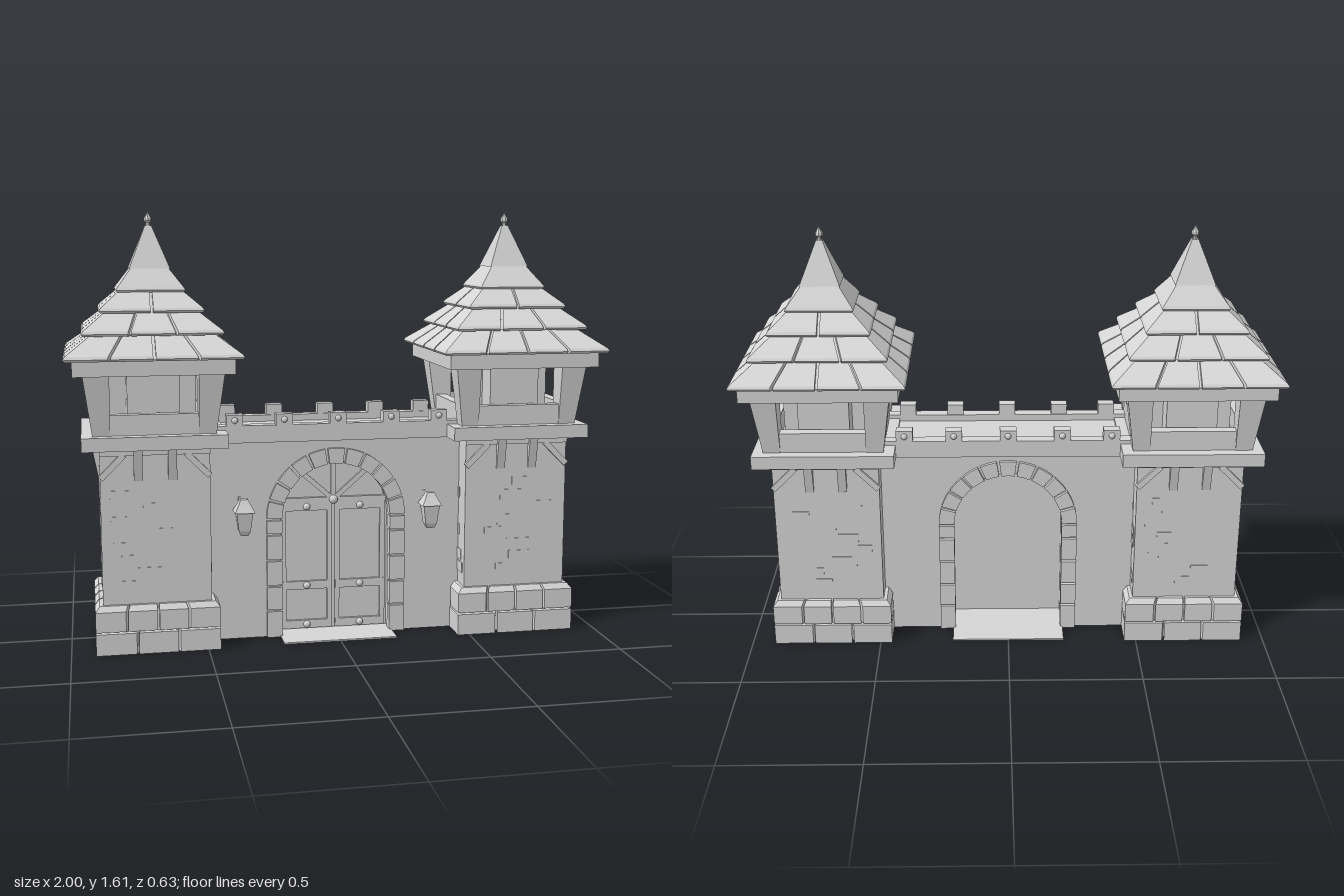
import * as THREE from 'three';

const stone = new THREE.MeshStandardMaterial({ color: 0xd6d6d6 });
stone.name = 'pale stone';

function add(parent, name, geo, x = 0, y = 0, z = 0) {
  const m = new THREE.Mesh(geo, stone);
  m.name = name;
  m.position.set(x, y, z);
  parent.add(m);
  return m;
}

// Box given by its limits
function span(parent, name, x0, x1, y0, y1, z0, z1) {
  return add(parent, name, new THREE.BoxGeometry(x1 - x0, y1 - y0, z1 - z0),
    (x0 + x1) / 2, (y0 + y1) / 2, (z0 + z1) / 2);
}

function flat(geo) {
  const g = geo.index ? geo.toNonIndexed() : geo;
  g.computeVertexNormals();
  return g;
}

// Leaves out the faces resting on the ground
function openBottom(geo) {
  const p = geo.attributes.position, kept = [];
  for (let i = 0; i < p.count; i += 3) {
    const tri = [i, i + 1, i + 2];
    if (tri.every(k => p.getY(k) < 1e-4)) continue;
    for (const k of tri) kept.push(p.getX(k), p.getY(k), p.getZ(k));
  }
  const g = new THREE.BufferGeometry();
  g.setAttribute('position', new THREE.Float32BufferAttribute(kept, 3));
  return flat(g);
}

// Square frustum given by half widths
function frustum(parent, name, bottom, top, y0, y1) {
  const g = new THREE.CylinderGeometry(top * Math.SQRT2, bottom * Math.SQRT2, y1 - y0, 4);
  return add(parent, name, flat(g.rotateY(Math.PI / 4)), 0, (y0 + y1) / 2, 0);
}

// Sweeps a (z, y) profile sideways between two x limits that may depend on z
function sweep(profile, left, right) {
  const shape = new THREE.Shape(profile.map(p => new THREE.Vector2(...p)));
  const g = new THREE.ExtrudeGeometry(shape, { depth: 1, bevelEnabled: false });
  const p = g.attributes.position;
  for (let i = 0; i < p.count; i++) {
    const h = p.getX(i), t = p.getZ(i);
    p.setXYZ(i, right(h) * (1 - t) + left(h) * t, p.getY(i), h);
  }
  return openBottom(g);
}

// Square ring of n blocks per side, mitred at the corners
function course(parent, name, profile, n, gap) {
  const ring = new THREE.Group();
  ring.name = name;
  for (let i = 0; i < n; i++) {
    const u0 = -1 + 2 * i / n, u1 = u0 + 2 / n;
    const g = sweep(profile, h => u0 * h + (i ? gap : 0), h => u1 * h - (i < n - 1 ? gap : 0));
    for (let s = 0; s < 4; s++) add(ring, name + 'Block', g).rotation.y = s * Math.PI / 2;
  }
  parent.add(ring);
}

function makeTower(seed) {
  const t = new THREE.Group();
  let state = seed;
  const rand = () => (state = (state * 16807) % 2147483647) / 2147483647;

  // Footing and shaft
  frustum(t, 'footingCore', 0.205, 0.205, 0.004, 0.165);
  course(t, 'lowerFooting', [[0.19, 0], [0.228, 0], [0.228, 0.08], [0.19, 0.08]], 3, 0.004);
  course(t, 'upperFooting', [[0.19, 0.087], [0.228, 0.087], [0.228, 0.162], [0.212, 0.182], [0.19, 0.182]], 4, 0.004);
  frustum(t, 'shaft', 0.199, 0.199, 0.16, 0.77);

  // Brackets and raised bricks on each side
  const bracket = sweep([[0.19, 0.64], [0.204, 0.64], [0.228, 0.765], [0.19, 0.765]], () => -0.016, () => 0.016);
  for (let s = 0; s < 4; s++) {
    const side = new THREE.Group();
    side.name = 'shaftSide';
    side.rotation.y = s * Math.PI / 2;
    for (const x of [-0.062, 0.062]) add(side, 'bracket', bracket, x);
    for (let r = 0; r < 8; r++) {
      const w = 0.05 + rand() * 0.05, x = (rand() - 0.5) * (0.36 - w), y = 0.23 + r * 0.048;
      span(side, 'raisedBrick', x - w / 2, x + w / 2, y, y + 0.04, 0.196, 0.2015);
    }
    // Corner braces under the platform on the front and back
    if (s % 2 === 0) {
      span(side, 'braceBeam', -0.2, 0.2, 0.735, 0.762, 0.195, 0.21);
      for (const m of [-1, 1]) {
        const brace = new THREE.BoxGeometry(0.022, 0.12, 0.015);
        add(side, 'cornerBrace', brace, m * 0.155, 0.695, 0.2025).rotation.z = m * Math.PI / 4;
      }
    }
    t.add(side);
  }

  // Lookout: platform, flared posts, low rails and cross-shaped core
  frustum(t, 'platform', 0.262, 0.262, 0.76, 0.81);
  for (const sx of [-1, 1]) for (const sz of [-1, 1]) {
    const g = new THREE.BoxGeometry(0.064, 0.22, 0.064);
    const p = g.attributes.position;
    for (let i = 0; i < p.count; i++) {
      if (p.getY(i) < 0) continue;
      if (p.getX(i) * sx > 0) p.setX(i, p.getX(i) + sx * 0.03);
      if (p.getZ(i) * sz > 0) p.setZ(i, p.getZ(i) + sz * 0.03);
    }
    add(t, 'lookoutPost', flat(g), sx * 0.19, 0.92, sz * 0.19);
  }
  for (const s of [-1, 1]) {
    span(t, 'lookoutRail', -0.16, 0.16, 0.81, 0.885, s * 0.2 - 0.02, s * 0.2 + 0.02);
    span(t, 'lookoutRail', s * 0.2 - 0.02, s * 0.2 + 0.02, 0.81, 0.885, -0.16, 0.16);
  }
  span(t, 'lookoutCore', -0.095, 0.095, 0.81, 1.03, -0.162, 0.162);
  span(t, 'lookoutCore', -0.162, 0.162, 0.81, 1.03, -0.06, 0.06);
  frustum(t, 'eaveBeam', 0.287, 0.287, 1.03, 1.09);

  // Tiled roof: [tiles per side, bottom half width, top half width, bottom y, top y]
  const tiers = [[4, 0.317, 0.21, 1.085, 1.178], [3, 0.252, 0.16, 1.168, 1.254],
    [2, 0.188, 0.11, 1.245, 1.325], [1, 0.125, 0.068, 1.316, 1.402]];
  for (const [n, hb, ht, y0, y1] of tiers) {
    frustum(t, 'roofCore', hb - 0.014, ht - 0.014, y0 + 0.003, y1 - 0.003);
    course(t, 'roofTiles', [[hb - 0.03, y0], [hb - 0.006, y0], [hb, y0 + 0.008], [hb - 0.006, y0 + 0.018],
      [ht, y1], [ht - 0.03, y1]], n, 0.005);
  }
  frustum(t, 'roofCap', 0.074, 0.012, 1.4, 1.555);
  const finial = [[0, 1.55], [0.009, 1.552], [0.008, 1.566], [0.015, 1.572], [0.014, 1.582], [0, 1.606]];
  add(t, 'finial', flat(new THREE.LatheGeometry(finial.map(p => new THREE.Vector2(...p)), 8)));
  return t;
}

// Arched outline standing on y = 0
function archPath(path, r, spring) {
  path.moveTo(-r, 0);
  path.lineTo(r, 0);
  path.lineTo(r, spring);
  path.absarc(0, spring, r, 0, Math.PI, false);
  path.closePath();
  return path;
}

const extrude = (shape, depth, curveSegments = 20) =>
  new THREE.ExtrudeGeometry(shape, { depth, bevelEnabled: false, curveSegments });

function makeWall() {
  const w = new THREE.Group();
  const spring = 0.458, inner = 0.212;

  // Wall with arched opening
  const shape = new THREE.Shape();
  shape.moveTo(-0.5, 0);
  shape.lineTo(-inner, 0);
  shape.lineTo(-inner, spring);
  shape.absarc(0, spring, inner, Math.PI, 0, true);
  shape.lineTo(inner, 0);
  shape.lineTo(0.5, 0);
  shape.lineTo(0.5, 0.8);
  shape.lineTo(-0.5, 0.8);
  add(w, 'wall', openBottom(extrude(shape, 0.22)), 0, 0, -0.11);

  // Parapets, battlements and studs
  for (const s of [-1, 1]) {
    span(w, 'parapet', -0.48, 0.48, 0.76, 0.825, s * 0.134 - 0.023, s * 0.134 + 0.023);
    for (const x of [-0.388, -0.203, 0, 0.203, 0.388]) {
      span(w, 'merlon', x - 0.031, x + 0.031, 0.82, 0.866, s * 0.136 - 0.022, s * 0.136 + 0.022);
      add(w, 'merlonStud', new THREE.SphereGeometry(0.012, 8, 6), x, 0.845, s * 0.159);
    }
  }

  // Arch stones and jambs on both faces
  const n = 11, joints = [0, 0.105, 0.2, 0.3, 0.4, spring];
  for (const face of [-1, 1]) {
    const z0 = face * 0.104 - 0.02, z1 = face * 0.104 + 0.02;
    for (let i = 0; i < n; i++) {
      const a = i * Math.PI / n + 0.02, b = (i + 1) * Math.PI / n - 0.02;
      const v = new THREE.Shape();
      v.absarc(0, 0, 0.267, a, b, false);
      v.absarc(0, 0, 0.208, b, a, true);
      add(w, 'archStone', extrude(v, z1 - z0, 3), 0, spring, z0);
    }
    for (const s of [-1, 1]) for (let i = 0; i < 5; i++)
      span(w, 'jambStone', s * 0.2375 - 0.0295, s * 0.2375 + 0.0295,
        joints[i] + (i ? 0.004 : 0), joints[i + 1] - 0.004, z0, z1);
  }

  // Double door with frames, studs and fan ribs
  const door = new THREE.Group();
  door.name = 'door';
  door.position.z = -0.012;
  w.add(door);
  add(door, 'doorPanel', extrude(archPath(new THREE.Shape(), 0.215, spring), 0.03), 0, 0.004, 0.03);
  for (const s of [-1, 1]) {
    for (const y of [0.025, 0.18, 0.49]) {
      span(door, 'doorRail', s * 0.104 - 0.096, s * 0.104 + 0.096, y - 0.016, y + 0.016, 0.058, 0.07);
      add(door, 'doorStud', new THREE.SphereGeometry(0.014, 8, 6), s * 0.104, y, 0.072);
    }
    for (const x of [0.014, 0.194]) span(door, 'doorStile', s * x - 0.01, s * x + 0.01, 0.01, 0.505, 0.058, 0.069);
  }
  span(door, 'transom', -0.205, 0.205, 0.505, 0.525, 0.058, 0.074);
  for (const [angle, len] of [[-0.85, 0.17], [0, 0.145], [0.85, 0.17]]) {
    const rib = new THREE.BoxGeometry(0.018, len, 0.012).translate(0, len / 2, 0);
    add(door, 'fanRib', rib, 0, 0.515, 0.065).rotation.z = angle;
  }
  add(door, 'fanHub', new THREE.SphereGeometry(0.017, 10, 8), 0, 0.516, 0.074);

  // Doorstep
  span(w, 'doorstep', -0.217, 0.217, 0, 0.006, -0.218, 0.217);
  return w;
}

function makeLantern() {
  const l = new THREE.Group();
  frustum(l, 'lanternFoot', 0.014, 0.022, 0.413, 0.432);
  frustum(l, 'lanternGlass', 0.022, 0.031, 0.432, 0.502);
  frustum(l, 'lanternHood', 0.038, 0.022, 0.502, 0.532);
  frustum(l, 'lanternCap', 0.022, 0.014, 0.532, 0.55);
  span(l, 'lanternArm', -0.008, 0.008, 0.525, 0.541, -0.055, 0);
  span(l, 'lanternPlate', -0.016, 0.016, 0.46, 0.55, -0.056, -0.044);
  return l;
}

export function createModel() {
  const gate = new THREE.Group();
  gate.name = 'gatehouse';
  const wall = makeWall();
  wall.name = 'gateWall';
  gate.add(wall);
  for (const s of [-1, 1]) {
    const side = s > 0 ? 'left' : 'right';
    const tower = makeTower(s > 0 ? 71 : 389);
    tower.name = side + 'Tower';
    tower.position.x = s * 0.683;
    const lantern = makeLantern();
    lantern.name = side + 'Lantern';
    lantern.position.set(s * 0.357, 0, 0.158);
    gate.add(tower, lantern);
  }
  return gate;
}
